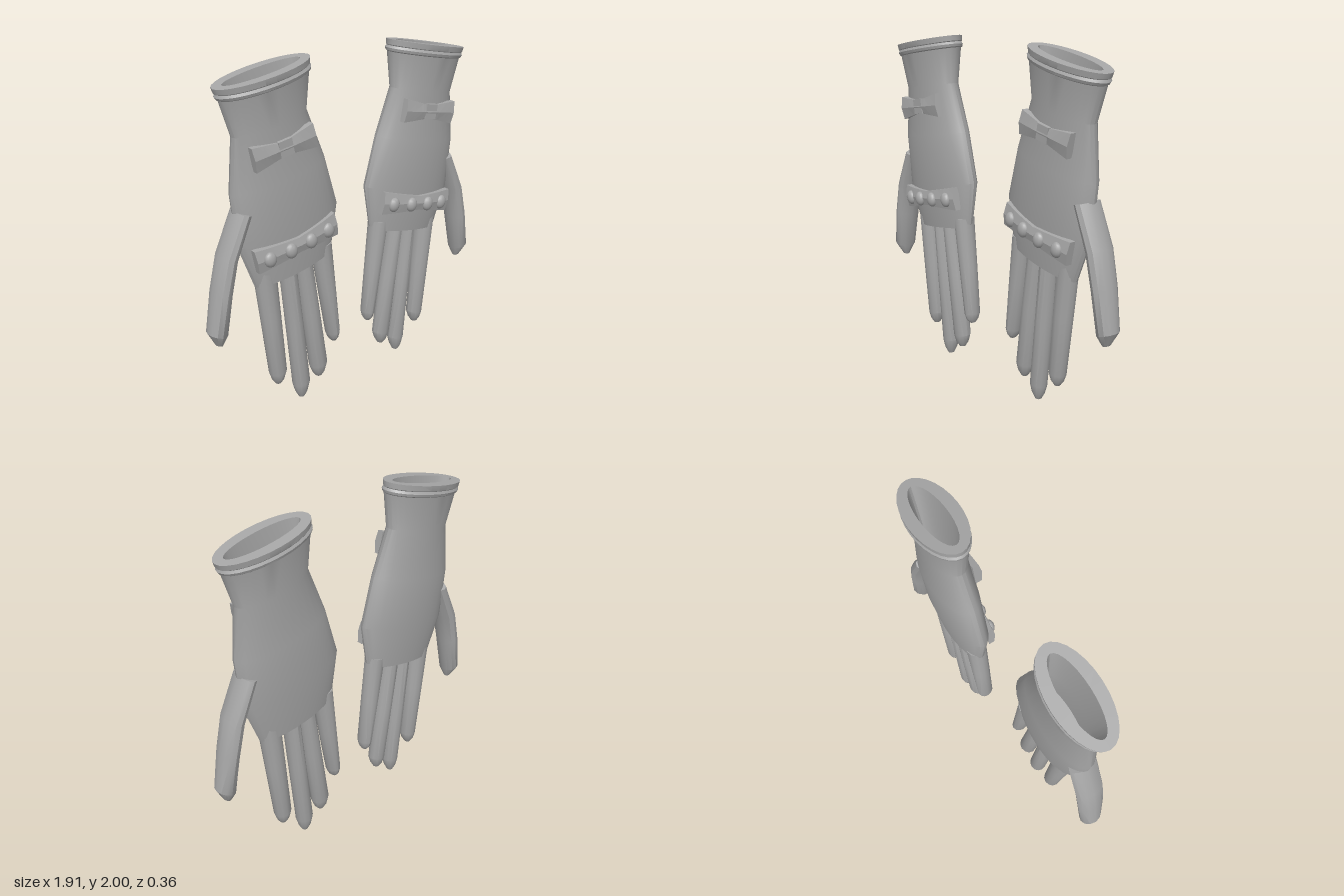
import * as THREE from 'three';
import { toCreasedNormals } from 'three/addons/utils/BufferGeometryUtils.js';

const TILT = -0.184; // slope of each glove's cross-sections

// Elliptical loft through [x, y, halfWidth, halfDepth] rings, capped at both ends
function loft(rings, angle, seg) {
  const pos = [], index = [];
  const ca = Math.cos(angle), sa = Math.sin(angle);
  for (const [x, y, rx, rz] of rings) {
    for (let j = 0; j < seg; j++) {
      const t = (j / seg) * Math.PI * 2;
      pos.push(x + Math.cos(t) * rx * ca, y + Math.cos(t) * rx * sa, Math.sin(t) * rz);
    }
  }
  const last = rings.length - 1, base = rings.length * seg;
  pos.push(rings[0][0], rings[0][1], 0, rings[last][0], rings[last][1], 0);
  for (let j = 0; j < seg; j++) {
    const k = (j + 1) % seg;
    for (let i = 0; i < last; i++) {
      const a = i * seg + j, b = i * seg + k, c = a + seg, d = b + seg;
      index.push(a, c, b, b, c, d);
    }
    index.push(base, j, k, base + 1, last * seg + k, last * seg + j);
  }
  const g = new THREE.BufferGeometry();
  g.setAttribute('position', new THREE.Float32BufferAttribute(pos, 3));
  g.setIndex(index);
  return g;
}

// Band that is tall at both ends, pinched in the middle and bent round the hand
function bowBand(length, endHalf, midHalf, midZ, endZ, thick) {
  const g = new THREE.BoxGeometry(length, 2, thick, 6, 2, 1);
  const p = g.attributes.position;
  for (let i = 0; i < p.count; i++) {
    const u = Math.abs(p.getX(i)) / (length / 2);
    const half = midHalf + (endHalf - midHalf) * u;
    const ridge = p.getZ(i) > 0 && Math.abs(p.getY(i)) < 0.1 ? 0.012 : 0;
    p.setY(i, p.getY(i) * half);
    p.setZ(i, p.getZ(i) + ridge + midZ + (endZ - midZ) * u * u);
  }
  return g;
}

// Fingers: base x, y, radius, then end x, y, radius, then tip x, y
const FINGERS = {
  littleFinger: [0.232, 0.95, 0.062, 0.157, 0.36, 0.041, 0.152, 0.3],
  ringFinger: [0.36, 0.93, 0.05, 0.263, 0.18, 0.056, 0.26, 0.1],
  middleFinger: [0.457, 0.92, 0.046, 0.385, 0.1, 0.053, 0.385, 0.005],
  indexFinger: [0.603, 0.95, 0.066, 0.54, 0.235, 0.052, 0.54, 0.16],
};

function createGlove(side, material) {
  const glove = new THREE.Group();
  glove.name = side > 0 ? 'leftGlove' : 'rightGlove';

  // Adds a part, mirrored in x with its corner order reversed when needed
  const add = (name, geometry, crease) => {
    if (side < 0) {
      geometry.scale(-1, 1, 1);
      const ix = geometry.index;
      for (let i = 0; i < ix.count; i += 3) {
        const a = ix.getX(i);
        ix.setX(i, ix.getX(i + 1));
        ix.setX(i + 1, a);
      }
    }
    geometry.deleteAttribute('uv');
    geometry.deleteAttribute('normal');
    const mesh = new THREE.Mesh(toCreasedNormals(geometry, crease), material);
    mesh.name = name;
    glove.add(mesh);
  };

  // Hand, flared cuff, rolled rim and hollow opening
  add('handAndCuff', loft([
    [0.415, 0.855, 0.25, 0.075],
    [0.44, 1.12, 0.316, 0.106],
    [0.4925, 1.41, 0.287, 0.113],
    [0.53, 1.69, 0.219, 0.102],
    [0.548, 1.885, 0.257, 0.124],
    [0.549, 1.89, 0.266, 0.132],
    [0.552, 1.904, 0.272, 0.137],
    [0.555, 1.917, 0.264, 0.13],
    [0.556, 1.921, 0.27, 0.133],
    [0.561, 1.95, 0.275, 0.137],
    [0.561, 1.95, 0.222, 0.072],
    [0.535, 1.69, 0.185, 0.055],
    [0.5, 1.45, 0.2, 0.06],
  ], TILT, 28), 0.5);

  // Four fingers with blunt pointed tips
  for (const [name, [bx, by, br, ex, ey, er, tx, ty]] of Object.entries(FINGERS)) {
    add(name, loft([
      [tx, ty, er * 0.35, 0.02],
      [(tx + ex) / 2, (ty + ey) / 2 - 0.008, er * 0.72, 0.039],
      [ex, ey, er, 0.05],
      [(bx + ex) / 2, (by + ey) / 2, (br + er) / 2, 0.056],
      [bx, by, br, 0.06],
    ], -0.1, 12), 0.6);
  }

  // Bent thumb
  add('thumb', loft([
    [0.893, 0.538, 0.021, 0.022],
    [0.9, 0.61, 0.056, 0.066],
    [0.86, 0.84, 0.055, 0.078],
    [0.815, 1.03, 0.052, 0.083],
    [0.717, 1.255, 0.045, 0.082],
  ], 0.28, 12), 0.6);

  // Wrist bow with a small knot
  const place = (g, x, y) => g.rotateZ(TILT).translate(x, y, 0);
  add('wristBow', place(bowBand(0.365, 0.066, 0.036, 0.098, 0.094, 0.035), 0.51, 1.58), 0.05);
  add('bowKnot', place(new THREE.BoxGeometry(0.08, 0.085, 0.035).translate(0, 0, 0.108), 0.51, 1.583), 0.1);

  // Knuckle strap and its four beads
  add('knuckleStrap', place(bowBand(0.51, 0.067, 0.042, 0.104, 0.078, 0.035), 0.443, 1.04), 0.05);
  [-0.186, -0.063, 0.064, 0.186].forEach((u, i) => {
    const bead = new THREE.SphereGeometry(1, 14, 10).scale(0.036, 0.043, 0.026);
    bead.translate(u, 0, 0.13 - 0.5 * u * u);
    add('bead' + (i + 1), place(bead, 0.441, 1.036), 1.2);
  });

  glove.position.z = -0.033 * side;
  return glove;
}

export function createModel() {
  const fabric = new THREE.MeshStandardMaterial({ color: 0xa6a6a6 });
  fabric.name = 'greyFabric';
  const model = new THREE.Group();
  model.name = 'pairOfGloves';
  for (const side of [1, -1]) model.add(createGlove(side, fabric));
  return model;
}
